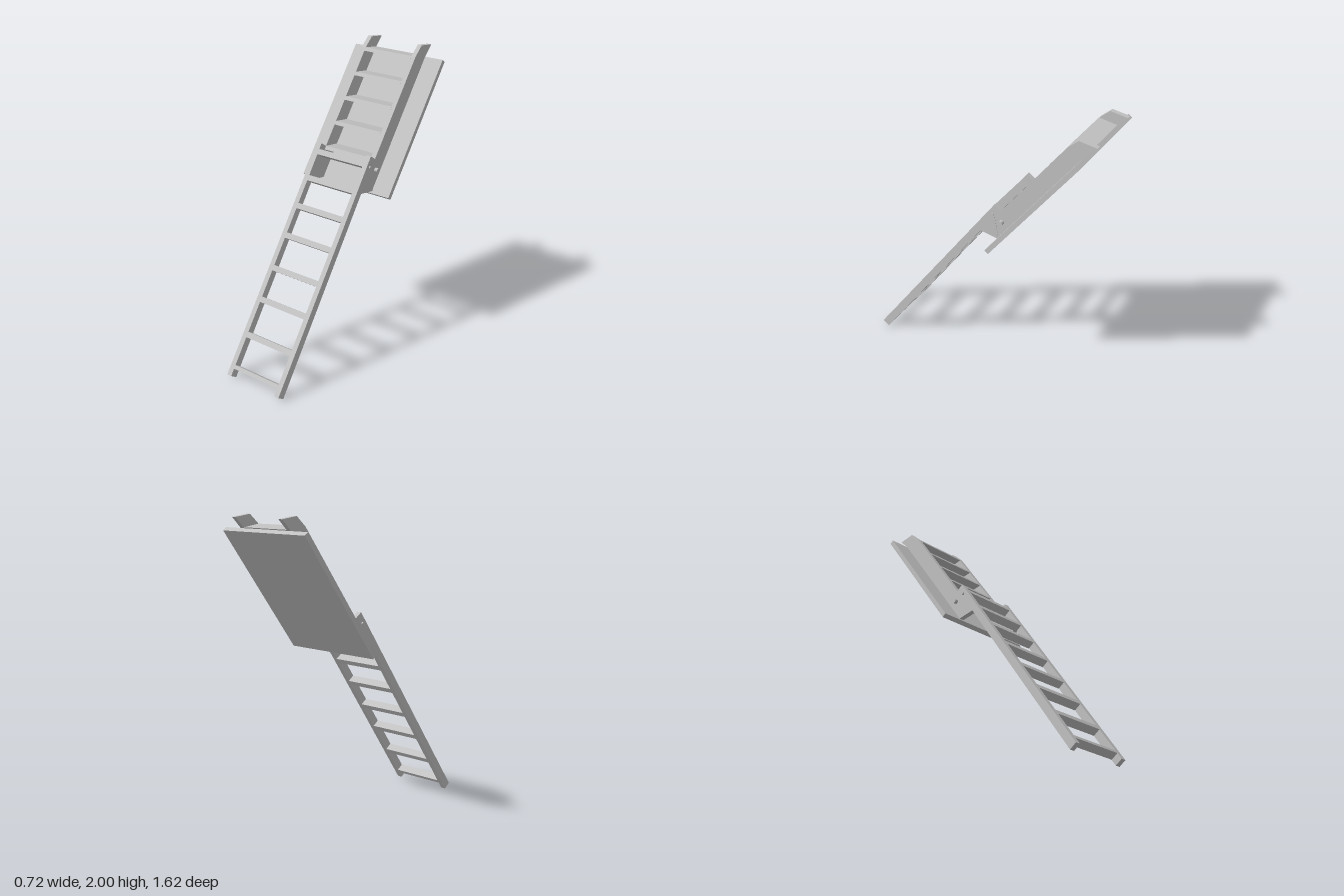
import * as THREE from 'three';

const grey = new THREE.MeshStandardMaterial({ color: 0xc0c0c0 });
grey.name = 'light grey';

// Side profile of [z, y] points, extruded across x from x0 to x1
function profile(name, points, x0, x1) {
  const shape = new THREE.Shape(points.map(([z, y]) => new THREE.Vector2(z, y)));
  const geo = new THREE.ExtrudeGeometry(shape, { depth: x1 - x0, bevelEnabled: false });
  geo.rotateY(-Math.PI / 2).translate(x1, 0, 0);
  const mesh = new THREE.Mesh(geo, grey);
  mesh.name = name;
  return mesh;
}

// Bolt pointing along x
function bolt(name, x0, x1, y, z, r) {
  const geo = new THREE.CylinderGeometry(r, r, x1 - x0, 20);
  geo.rotateZ(Math.PI / 2).translate((x0 + x1) / 2, y, z);
  const mesh = new THREE.Mesh(geo, grey);
  mesh.name = name;
  return mesh;
}

export function createModel() {
  const model = new THREE.Group();
  model.name = 'foldingAtticLadder';
  const lower = new THREE.Group();
  lower.name = 'lowerLadder';
  const upper = new THREE.Group();
  upper.name = 'upperLadder';
  model.add(lower, upper);

  // Side rails: the lower one widens into a hinge plate, the upper one is deep
  const lowerRail = [[0.81, 0.032], [-0.138, 1.38], [-0.186, 1.347], [-0.142, 1.288],
    [-0.17, 1.13], [-0.037, 1.15], [0.765, 0]];
  const upperRail = [[-0.186, 1.347], [-0.62, 1.936], [-0.69, 2], [-0.806, 1.985],
    [-0.737, 1.914], [-0.16, 1.13], [-0.17, 1.13], [-0.142, 1.288]];
  for (const side of [-1, 1]) {
    const span = (a, b) => (side > 0 ? [a, b] : [-b, -a]);
    const tag = side > 0 ? 'Left' : 'Right';
    lower.add(profile('lowerRail' + tag, lowerRail, ...span(0.187, 0.222)));
    upper.add(profile('upperRail' + tag, upperRail, ...span(0.188, 0.22)));
    lower.add(bolt('hingeBolt' + tag, ...span(0.2, 0.243), 1.27, -0.194, 0.015));
    lower.add(bolt('stopPin' + tag, ...span(0.2, 0.232), 1.307, -0.127, 0.009));
  }

  // Lower treads, square to the rail
  const up = [-0.575, 0.818];
  const depth = 0.054;
  [0.766, 0.633, 0.491, 0.363, 0.23, 0.109, -0.006, -0.114].forEach((z, i) => {
    const y = 0.032 + (0.81 - z) * 1.422;
    const t = i === 0 ? 0.026 : 0.038;
    const dz = up[0] * t, dy = up[1] * t;
    const bz = up[1] * depth, by = -up[0] * depth;
    lower.add(profile('lowerTread' + (i + 1),
      [[z, y], [z - bz, y - by], [z - bz - dz, y - by - dy], [z - dz, y - dy]], -0.188, 0.188));
  });

  // Upper treads, nearly level, reaching back to the hatch panel
  for (let i = 0; i < 5; i++) {
    const z = -0.62 + i * 0.1085, y = 1.938 - i * 0.1475;
    upper.add(profile('upperTread' + (i + 1),
      [[z, y], [z - 0.121, y - 0.017], [z - 0.1055, y - 0.038], [z + 0.0155, y - 0.021]],
      -0.189, 0.189));
  }

  // Hatch panel behind the upper section
  model.add(profile('hatchPanel',
    [[-0.149, 1.119], [-0.737, 1.915], [-0.762, 1.896], [-0.174, 1.1]], -0.358, 0.358));

  return model;
}
